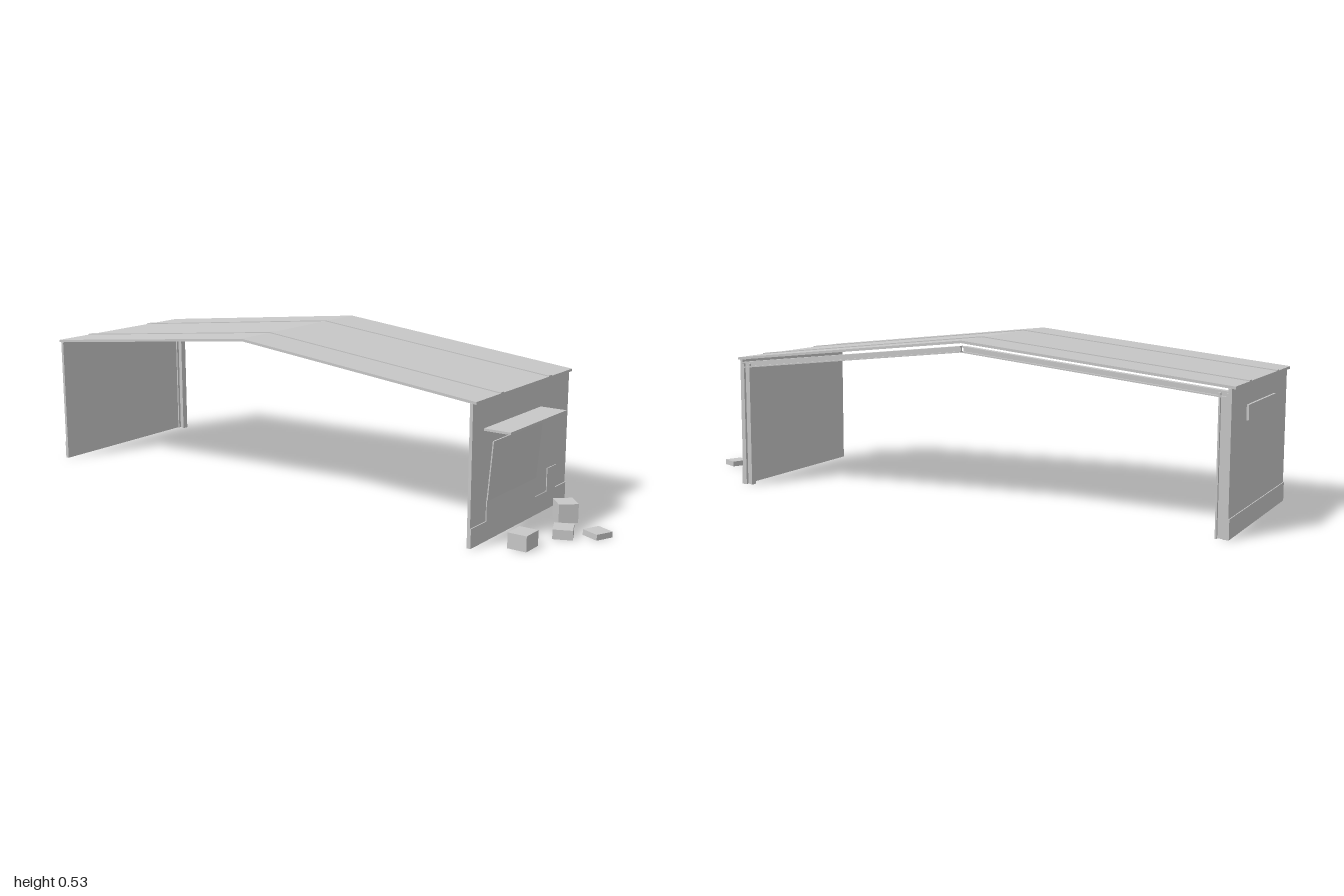
import * as THREE from 'three';

export function createModel() {
  const model = new THREE.Group();
  model.name = 'shedBay';
  const grey = new THREE.MeshStandardMaterial({ color: 0xc8c8c8 });
  grey.name = 'light grey';

  const RIDGE_Z = -0.14, HALF_SPAN = 0.86, SLOPE = 0.107, HALF_WIDTH = 0.302;
  const roofY = (z) => 0.527 - SLOPE * Math.abs(z - RIDGE_Z);

  function add(name, geometry, parent = model) {
    const mesh = new THREE.Mesh(geometry, grey);
    mesh.name = name;
    parent.add(mesh);
    return mesh;
  }

  // Box given by its extents
  function box(name, x0, x1, y0, y1, z0, z1, parent) {
    const mesh = add(name, new THREE.BoxGeometry(x1 - x0, y1 - y0, z1 - z0), parent);
    mesh.position.set((x0 + x1) / 2, (y0 + y1) / 2, (z0 + z1) / 2);
    return mesh;
  }

  // Sloped bar following the roof between za and zb, at drops top..bottom below its surface
  function slopedBar(name, x0, x1, za, zb, top, bottom, parent) {
    const [z0, z1] = [Math.min(za, zb), Math.max(za, zb)];
    const shape = new THREE.Shape([
      new THREE.Vector2(-z0, roofY(z0) - top), new THREE.Vector2(-z1, roofY(z1) - top),
      new THREE.Vector2(-z1, roofY(z1) - bottom), new THREE.Vector2(-z0, roofY(z0) - bottom),
    ]);
    const g = new THREE.ExtrudeGeometry(shape, { depth: x1 - x0, bevelEnabled: false });
    g.rotateY(Math.PI / 2);
    g.translate(x0, 0, 0);
    return add(name, g, parent);
  }

  // End walls
  box('frontWall', -HALF_WIDTH, HALF_WIDTH, 0, 0.428, 0.7, 0.71);
  box('backWall', -HALF_WIDTH, HALF_WIDTH, 0, 0.428, -0.99, -0.98);

  // Both halves of the roof, its ribs and the steel frame on the open side
  for (const side of [1, -1]) {
    const at = (d) => RIDGE_Z + side * d;
    const label = side > 0 ? 'front' : 'back';
    slopedBar(label + 'Roof', -HALF_WIDTH, HALF_WIDTH, at(0), at(HALF_SPAN), 0, 0.008);
    for (const x of [-0.152, 0.152])
      slopedBar(label + 'RoofRib', x - 0.01, x + 0.01, at(0), at(HALF_SPAN), -0.003, 0.001);

    const frame = new THREE.Group();
    frame.name = label + 'Frame';
    model.add(frame);
    const xi = 0.28, xo = HALF_WIDTH, webIn = 0.289, webOut = 0.293;
    const column = (name, x0, x1, d0, d1) =>
      box(name, x0, x1, 0, 0.415, Math.min(at(d0), at(d1)), Math.max(at(d0), at(d1)), frame);
    column('columnInnerFlange', xi, xo, 0.812, 0.817);
    column('columnWeb', webIn, webOut, 0.817, 0.835);
    column('columnOuterFlange', xi, xo, 0.835, 0.84);
    slopedBar('rafterTopFlange', xi, xo, at(0.004), at(0.84), 0.017, 0.021, frame);
    slopedBar('rafterWeb', webIn, webOut, at(0.004), at(0.84), 0.021, 0.033, frame);
    slopedBar('rafterBottomFlange', xi, xo, at(0.004), at(0.84), 0.033, 0.037, frame);
  }

  // Plinth with a raised door base and a small raised panel
  const outline = [
    [-0.302, 0], [0.302, 0], [0.302, 0.06], [0.23, 0.06], [0.23, 0.135], [0.17, 0.135],
    [0.17, 0.06], [0.09, 0.06], [0.09, 0.122], [-0.213, 0.122], [-0.213, 0.06], [-0.302, 0.06],
  ].map(([x, y]) => new THREE.Vector2(x, y));
  const plinth = new THREE.ExtrudeGeometry(new THREE.Shape(outline), { depth: 0.003, bevelEnabled: false });
  add('frontPlinth', plinth).position.z = 0.71;
  box('backPlinth', -HALF_WIDTH, HALF_WIDTH, 0, 0.06, -0.993, -0.99);

  // Leaning shutter under a flat canopy
  const shutter = box('shutter', -0.213, 0.09, 0.122, 0.305, 0.719, 0.723);
  shutter.rotation.x = 0.085;
  box('canopy', -0.237, 0.114, 0.338, 0.345, 0.71, 0.797);

  // Shallow panel on the back wall
  box('backPanel', -0.15, 0.15, 0.32, 0.366, -0.997, -0.99);

  // Loose crates: x, z, width, height, depth, turn
  [
    [-0.196, 0.825, 0.072, 0.048, 0.062, 0],
    [-0.038, 0.876, 0.07, 0.03, 0.06, 0.4],
    [0.023, 0.958, 0.061, 0.018, 0.062, -0.42],
    [0.109, 0.81, 0.068, 0.06, 0.062, 0.74],
  ].forEach(([x, z, w, h, d, turn]) => {
    const crate = add('crate', new THREE.BoxGeometry(w, h, d));
    crate.position.set(x, h / 2, z);
    crate.rotation.y = turn;
  });

  return model;
}
